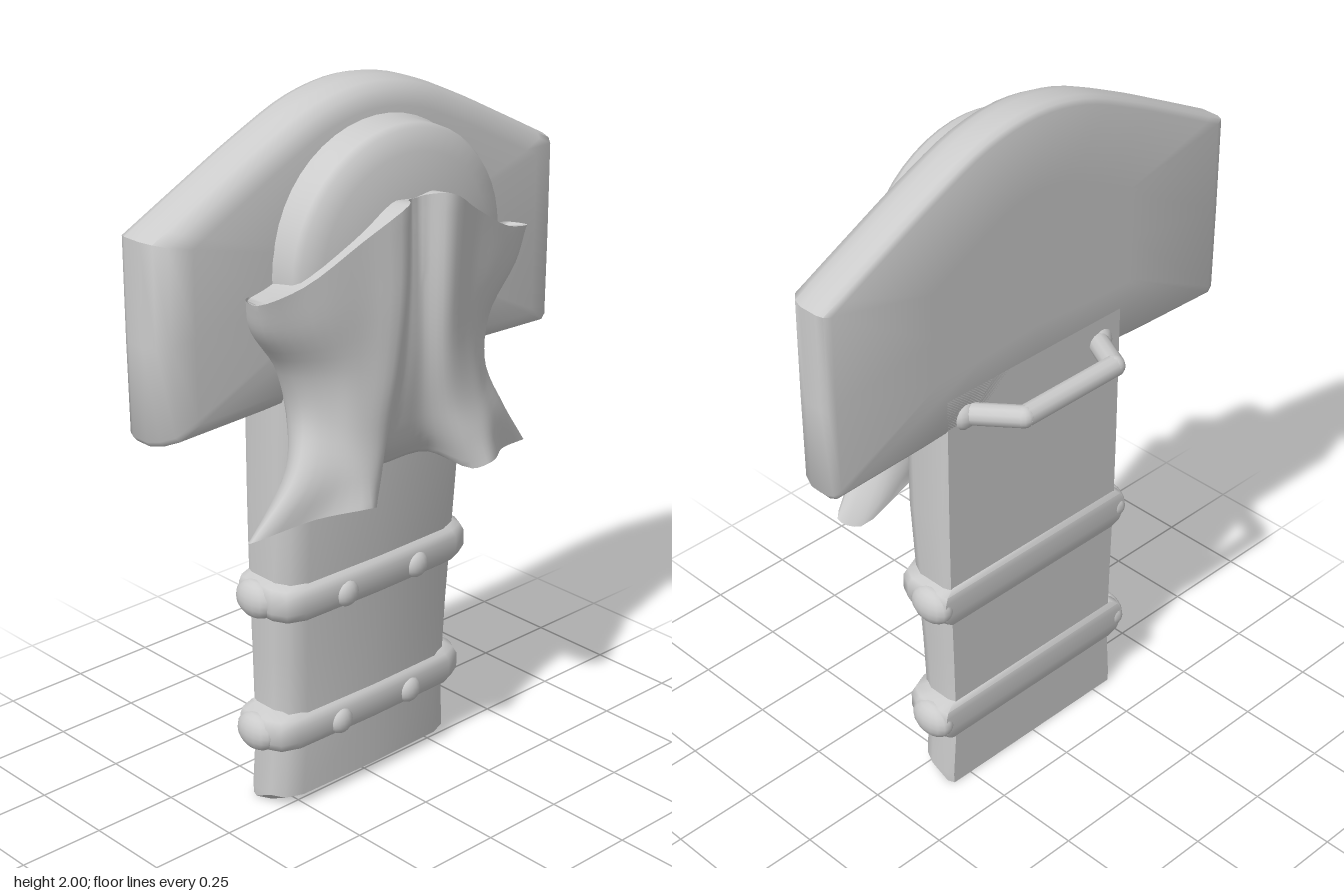
import * as THREE from 'three';
import { toCreasedNormals } from 'three/addons/utils/BufferGeometryUtils.js';

const V = (x, y, z) => new THREE.Vector3(x, y, z);
const material = new THREE.MeshStandardMaterial({ color: 0xcccccc, side: THREE.DoubleSide });

function part(name, geometry, group, pos) {
  const mesh = new THREE.Mesh(geometry, material);
  mesh.name = name;
  if (pos) mesh.position.copy(pos);
  group.add(mesh);
  return mesh;
}

// Skin a list of closed rings and close both ends
function loft(rings, crease = 0.9) {
  const n = rings[0].length, pos = [], idx = [];
  const mean = r => r.reduce((s, p) => s.add(p), V(0, 0, 0)).divideScalar(n);
  rings.forEach(r => r.forEach(p => pos.push(p.x, p.y, p.z)));
  for (let i = 0; i < rings.length - 1; i++)
    for (let j = 0; j < n; j++) {
      const a = i * n + j, b = i * n + (j + 1) % n;
      idx.push(a, b, b + n, a, b + n, a + n);
    }
  const last = rings.length - 1, c0 = pos.length / 3, c1 = c0 + 1;
  [mean(rings[0]), mean(rings[last])].forEach(p => pos.push(p.x, p.y, p.z));
  for (let j = 0; j < n; j++) {
    const k = (j + 1) % n;
    idx.push(c0, k, j, c1, last * n + j, last * n + k);
  }
  const g = new THREE.BufferGeometry();
  g.setAttribute('position', new THREE.Float32BufferAttribute(pos, 3));
  g.setIndex(idx);
  return toCreasedNormals(g, crease);
}

// Horizontal section: flat back, softened front corners
function section(y, w, zb, zf) {
  const half = [[0, zf + 0.005], [w - 0.07, zf], [w - 0.02, zf - 0.02], [w, zf - 0.06], [w, zb + 0.02], [w - 0.008, zb]];
  const mirrored = half.slice(1).reverse().map(([x, z]) => [-x, z]);
  return half.concat(mirrored).map(([x, z]) => V(x, y, z));
}

// Rings of one outline, scaled about a centre and stacked in z
function stack(outline, cy, steps) {
  return steps.map(([z, s]) => outline.map(p => V(p.x * s, cy + (p.y - cy) * s, z)));
}

// Round bar between two points
function bar(name, a, b, r, group) {
  const d = b.clone().sub(a);
  const mesh = part(name, new THREE.CylinderGeometry(r, r, d.length(), 12), group, a.clone().add(b).multiplyScalar(0.5));
  mesh.quaternion.setFromUnitVectors(V(0, 1, 0), d.normalize());
}

export function createModel() {
  const model = new THREE.Group();
  model.name = 'ornateSheath';

  // Sheath body, slightly thicker towards the head
  part('sheathBody', loft([
    [0.005, 0.32, -0.115, -0.035], [0.035, 0.322, -0.115, 0.025], [0.2, 0.31, -0.115, 0.03], [0.45, 0.315, -0.115, 0.04],
    [0.7, 0.322, -0.115, 0.055], [0.9, 0.324, -0.115, 0.07], [1.3, 0.324, -0.115, 0.075]
  ].map(s => section(...s)), 0.75), model);

  // Wide crest plate with an arched top
  const arch = new THREE.CatmullRomCurve3([V(0.705, 1.72, 0), V(0.52, 1.815, 0), V(0.35, 1.9, 0), V(0.17, 1.975, 0), V(0, 2, 0),
    V(-0.17, 1.975, 0), V(-0.35, 1.9, 0), V(-0.52, 1.815, 0), V(-0.705, 1.72, 0)]).getPoints(32);
  const plate = [V(0.69, 1.185, 0), V(0.702, 1.2, 0), V(0.705, 1.45, 0), ...arch,
    V(-0.705, 1.45, 0), V(-0.702, 1.2, 0), V(-0.69, 1.185, 0), V(-0.4, 1.195, 0), V(0, 1.22, 0), V(0.4, 1.195, 0)];
  part('crestPlate', loft(stack(plate, 1.55,
    [[-0.115, 0.5], [-0.115, 0.96], [-0.108, 0.99], [-0.09, 1], [-0.035, 1], [0, 0.98], [0.03, 0.945], [0.042, 0.85], [0.055, 0.5]]), 1), model);

  // Domed boss behind the ornament
  const oval = Array.from({ length: 48 }, (_, i) => {
    const t = i / 48 * Math.PI * 2;
    return V(0.36 * Math.cos(t), 1.57 + 0.34 * Math.sin(t), 0);
  });
  part('domeBoss', loft(stack(oval, 1.57,
    [[0.02, 1.05], [0.05, 1.01], [0.07, 1], [0.125, 0.995], [0.143, 0.965], [0.16, 0.8], [0.183, 0.55], [0.188, 0.2]]), 1.3), model);

  // Horned ornament: lengthwise ridges from the centre groove out to the hidden back
  const ridges = [
    [[0, 1.73, 0.185], [0, 1.5, 0.19], [0, 1.3, 0.185], [0, 1.15, 0.165], [0, 1.05, 0.14], [0, 0.985, 0.1]],
    [[0.03, 1.735, 0.195], [0.03, 1.5, 0.195], [0.04, 1.3, 0.188], [0.06, 1.15, 0.17], [0.09, 1.05, 0.15], [0.12, 0.985, 0.12]],
    [[0.075, 1.74, 0.243], [0.075, 1.5, 0.237], [0.09, 1.3, 0.222], [0.12, 1.15, 0.215], [0.145, 1.05, 0.225], [0.175, 0.955, 0.235]],
    [[0.2, 1.665, 0.21], [0.18, 1.5, 0.21], [0.18, 1.3, 0.205], [0.2, 1.15, 0.215], [0.21, 1.05, 0.24], [0.22, 0.97, 0.263]],
    [[0.36, 1.575, 0.17], [0.33, 1.46, 0.175], [0.26, 1.32, 0.175], [0.26, 1.18, 0.185], [0.29, 1.06, 0.205], [0.34, 0.95, 0.185]],
    [[0.475, 1.545, 0.13], [0.445, 1.455, 0.12], [0.355, 1.33, 0.11], [0.325, 1.2, 0.12], [0.375, 1.07, 0.145], [0.5, 0.91, 0.115]],
    [[0.455, 1.54, 0.06], [0.42, 1.45, 0.03], [0.34, 1.32, 0.03], [0.31, 1.18, 0.04], [0.35, 1.06, 0.08], [0.46, 0.89, 0.068]],
    [[0.32, 1.53, 0.03], [0.3, 1.45, 0.02], [0.28, 1.32, 0.02], [0.28, 1.18, 0.03], [0.28, 1.08, 0.04], [0.29, 0.98, 0.05]]
  ].map(c => new THREE.CatmullRomCurve3(c.map(p => V(...p))).getPoints(24));
  const rows = ridges[0].map((_, i) => {
    const half = ridges.map(c => c[i]);
    const row = [...half.slice(1).reverse(), ...half.map(p => V(-p.x, p.y, p.z))];
    return new THREE.CatmullRomCurve3(row).getPoints(56);
  });
  // Both ends turn inwards so they finish inside the dome and the body
  const tuck = (row, w, y0, z) => row.map(p => V(THREE.MathUtils.clamp(p.x, -w, w), Math.max(p.y, y0), Math.min(p.z, z)));
  rows.unshift(tuck(rows[0].map(p => V(p.x, p.y - 0.02, p.z)), 0.44, 0, 0.05));
  rows.push(tuck(rows[rows.length - 1], 0.27, 0.98, 0.045));
  part('hornedOrnament', loft(rows, 1.1), model);

  // Two straps, each with front studs and side knobs
  [['lowerStrap', 0.24, 0.05, 0.355], ['upperStrap', 0.64, 0.075, 0.35]].forEach(([name, y, zf, w]) => {
    const strap = new THREE.Group();
    strap.name = name;
    model.add(strap);
    part('strapBand', loft([[-0.065, -0.035], [-0.045, -0.01], [-0.02, 0], [0.025, 0], [0.045, -0.008], [0.062, -0.035]]
      .map(([dy, d]) => section(y + dy, w + d, -0.125 - d * 0.3, zf + d)), 1), strap);
    for (const s of [-1, 1]) {
      const stud = part('frontStud', new THREE.SphereGeometry(0.038, 14, 10), strap, V(s * 0.13, y - 0.01, zf - 0.004));
      stud.scale.z = 0.65;
      const knob = part('sideKnob', new THREE.SphereGeometry(0.055, 16, 10), strap, V(s * (w - 0.015), y - 0.005, -0.063));
      knob.scale.set(0.75, 1, 1.25);
    }
  });

  // Carrying loop on the back
  const loop = new THREE.Group();
  loop.name = 'backLoop';
  model.add(loop);
  const path = [V(0.25, 1.225, -0.09), V(0.165, 1.245, -0.237), V(-0.165, 1.245, -0.237), V(-0.25, 1.225, -0.09)];
  path.forEach((p, i) => {
    part('loopJoint', new THREE.SphereGeometry(i % 3 ? 0.03 : 0.045, 14, 10), loop, p);
    if (i) bar('loopBar', path[i - 1], p, 0.03, loop);
  });

  return model;
}
